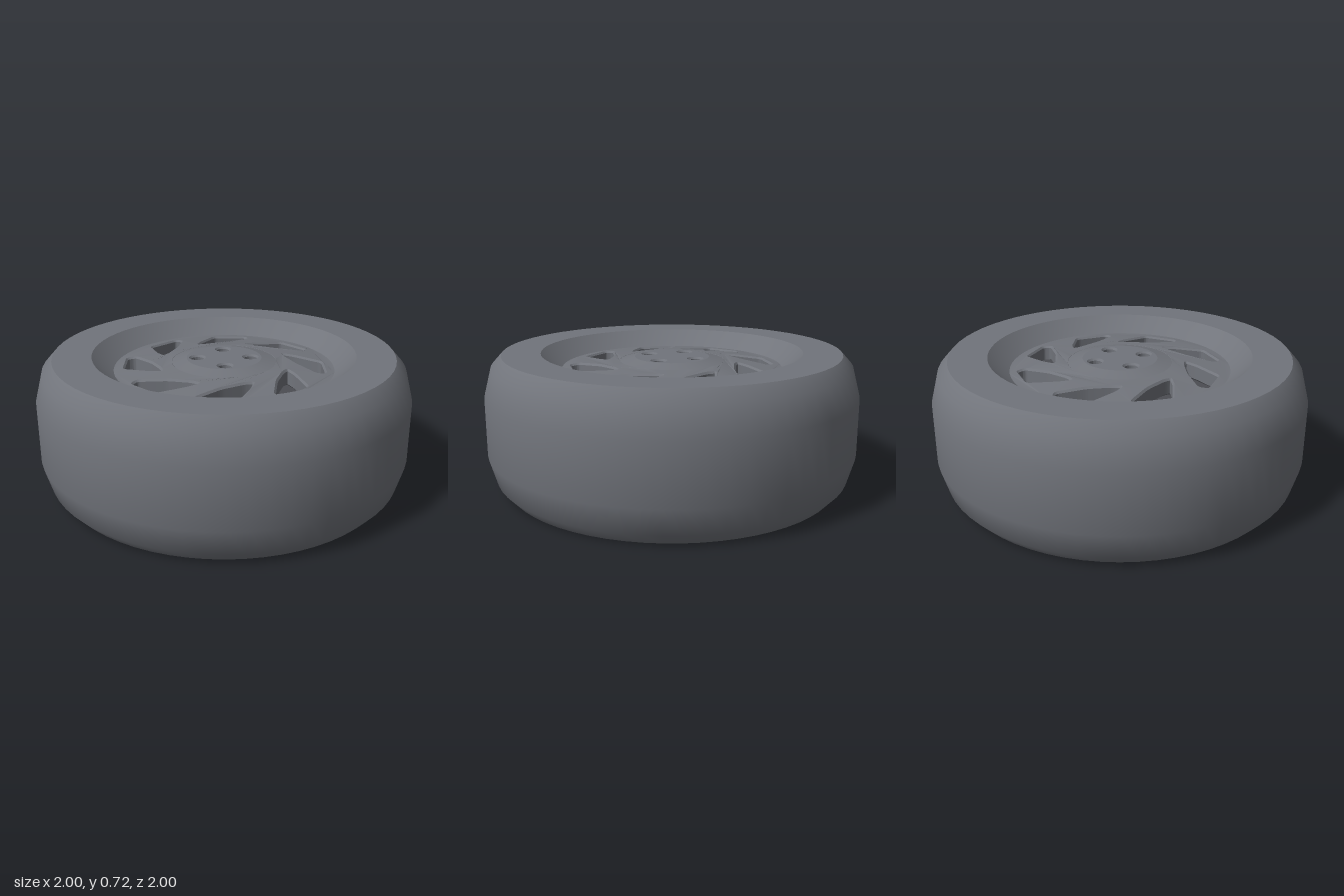
import * as THREE from 'three';
import { toCreasedNormals } from 'three/addons/utils/BufferGeometryUtils.js';

const SEGMENTS = 64;

function lathe(points) {
  const profile = points.map(([r, y]) => new THREE.Vector2(r, y));
  return toCreasedNormals(new THREE.LatheGeometry(profile, SEGMENTS), 0.6);
}

function circle(r, x = 0, y = 0) {
  return new THREE.Path().absarc(x, y, r, 0, Math.PI * 2, true);
}

// Closed outline with softened corners, turned about the axle
function roundedOutline(points, angle) {
  const origin = new THREE.Vector2();
  const p = points.map(([x, z]) => new THREE.Vector2(x, -z).rotateAround(origin, angle));
  const path = new THREE.Path();
  p.forEach((corner, i) => {
    const prev = p[(i + p.length - 1) % p.length];
    const next = p[(i + 1) % p.length];
    const toward = (q) => corner.clone().lerp(q, Math.min(0.4, 0.025 / corner.distanceTo(q)));
    const a = toward(prev), b = toward(next);
    if (i === 0) path.moveTo(a.x, a.y); else path.lineTo(a.x, a.y);
    path.quadraticCurveTo(corner.x, corner.y, b.x, b.y);
  });
  path.closePath();
  return path;
}

// Horizontal plate with chamfered holes; its top sits at topY and rises by slope toward the hub
function plate(radius, holes, depth, topY, slope = 0) {
  const shape = new THREE.Shape().absarc(0, 0, radius, 0, Math.PI * 2, false);
  shape.holes.push(...holes);
  const bevel = 0.01;
  const geometry = new THREE.ExtrudeGeometry(shape, {
    depth: depth - 2 * bevel, bevelSize: bevel, bevelThickness: bevel,
    bevelSegments: 1, curveSegments: 32, steps: 1,
  });
  geometry.rotateX(-Math.PI / 2).translate(0, topY - depth + bevel, 0);
  const pos = geometry.attributes.position;
  for (let i = 0; i < pos.count; i++) {
    const r = Math.hypot(pos.getX(i), pos.getZ(i));
    pos.setY(i, pos.getY(i) + slope * (radius - r));
  }
  return toCreasedNormals(geometry, 0.4);
}

export function createModel() {
  const group = new THREE.Group();
  const grey = new THREE.MeshStandardMaterial({ color: 0x71747b });
  grey.name = 'wheel grey';
  const dark = new THREE.MeshStandardMaterial({ color: 0x4c4d52 });
  dark.name = 'recess grey';

  const add = (name, geometry, material = grey) => {
    const mesh = new THREE.Mesh(geometry, material);
    mesh.name = name;
    group.add(mesh);
    return mesh;
  };

  // Tyre with a shallow recess underneath
  add('tyre', lathe([
    [0, 0.03], [0.545, 0.03], [0.58, 0], [0.905, 0], [0.96, 0.06], [1, 0.2],
    [1, 0.51], [0.96, 0.66], [0.905, 0.72], [0.7, 0.72],
  ]));

  // Dished rim
  add('rim', lathe([[0.7, 0.72], [0.64, 0.668], [0.59, 0.635]]));

  // Spoke plate with eight swept windows
  const windowOutline = [
    [-0.155, -0.315], [-0.135, -0.39], [-0.06, -0.54], [0.135, -0.54],
    [0.15, -0.485], [0.02, -0.385], [-0.1, -0.325],
  ];
  const windows = [circle(0.28)];
  for (let i = 0; i < 8; i++) windows.push(roundedOutline(windowOutline, (i * Math.PI) / 4));
  add('spokePlate', plate(0.59, windows, 0.09, 0.635, 0.1));

  // Raised hub: sloped shoulder and flat face with bolt holes
  add('hubShoulder', lathe([[0.3, 0.66], [0.25, 0.672], [0.2, 0.685]]));
  const bolts = [];
  for (let i = 0; i < 4; i++) {
    const a = Math.PI / 4 + (i * Math.PI) / 2 + 0.03;
    bolts.push(circle(0.045, 0.142 * Math.cos(a), 0.142 * Math.sin(a)));
  }
  add('hubFace', plate(0.2, bolts, 0.05, 0.685));

  // Recess floors seen through the windows and bolt holes
  const floor = (name, r, y) => {
    const mesh = add(name, new THREE.CircleGeometry(r, SEGMENTS), dark);
    mesh.rotation.x = -Math.PI / 2;
    mesh.position.y = y;
  };
  floor('windowFloor', 0.59, 0.56);
  floor('boltFloor', 0.195, 0.648);

  return group;
}
